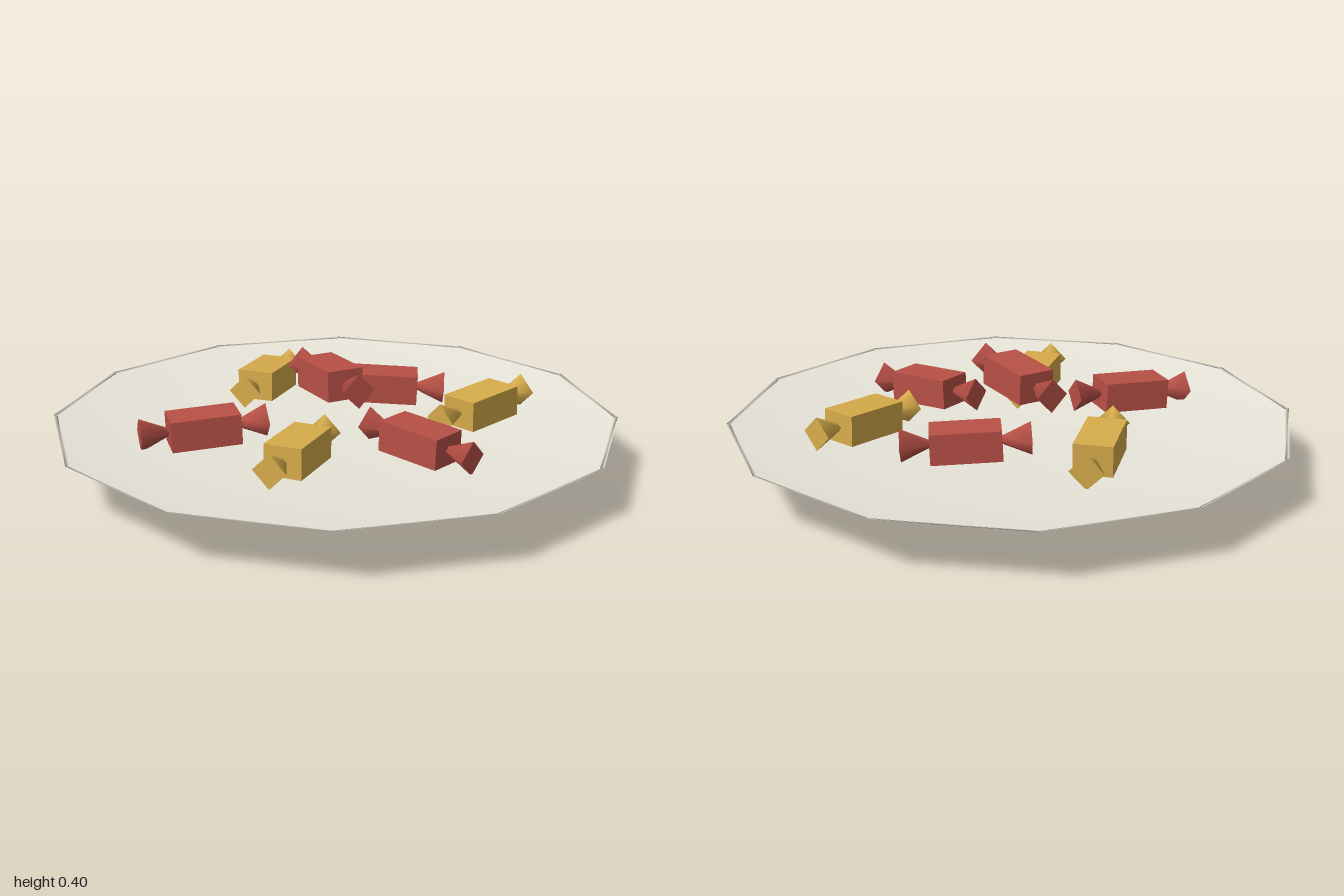
import * as THREE from 'three';

const plateMat = new THREE.MeshStandardMaterial({ color: 0xe8e5da });
const redMat = new THREE.MeshStandardMaterial({ color: 0xb85046 });
const yellowMat = new THREE.MeshStandardMaterial({ color: 0xd6ab4a });

// Shallow twelve-sided plate, turned from underside centre over the rim to inside centre
function createPlate() {
  const profile = [
    [0, 0], [0.6, 0.012], [1, 0.19],
    [0.985, 0.186], [0.6, 0.14], [0, 0.132],
  ].map(([r, y]) => new THREE.Vector2(r, y));
  const plate = new THREE.Mesh(new THREE.LatheGeometry(profile, 12), plateMat);
  plate.name = 'plate';
  return plate;
}

// Wrapped sweet along x: boxy body with a twisted four-sided flare at each end
const bodyGeo = new THREE.BoxGeometry(0.242, 0.107, 0.134);
const flareGeo = new THREE.CylinderGeometry(0.014, 0.06, 0.1, 4);

function createCandy(name, mat) {
  const candy = new THREE.Group();
  candy.name = name;
  const body = new THREE.Mesh(bodyGeo, mat);
  body.name = 'candyBody';
  candy.add(body);
  for (const side of [-1, 1]) {
    const flare = new THREE.Mesh(flareGeo, mat);
    flare.name = side > 0 ? 'wrapperEndLeft' : 'wrapperEndRight';
    flare.rotation.z = side * Math.PI / 2;
    flare.position.x = side * 0.17;
    candy.add(flare);
  }
  return candy;
}

export function createModel() {
  const model = new THREE.Group();
  model.name = 'plateOfCandy';
  model.add(createPlate());

  // colour, centre x, y, z, heading (dx, dz), tilt in radians
  const candies = [
    ['yellow', -0.26, 0.21, -0.38, 25, -71, -0.045],
    ['red', 0.18, 0.21, -0.3, 83, 3, -0.045],
    ['yellow', 0.52, 0.213, -0.06, 54, -53, 0.03],
    ['red', -0.02, 0.335, 0, 38, 74, 0.045],
    ['red', 0.283, 0.21, 0.3, 57, 50, -0.045],
    ['red', -0.45, 0.21, 0.18, 78, -22, 0.04],
    ['yellow', -0.12, 0.21, 0.4, 29, -70, -0.02],
  ];
  candies.forEach(([colour, x, y, z, dx, dz, tilt], i) => {
    const candy = createCandy(`${colour}Candy${i + 1}`, colour === 'red' ? redMat : yellowMat);
    candy.position.set(x, y, z);
    candy.rotation.set(0, Math.atan2(-dz, dx), tilt, 'YXZ');
    model.add(candy);
  });
  return model;
}
